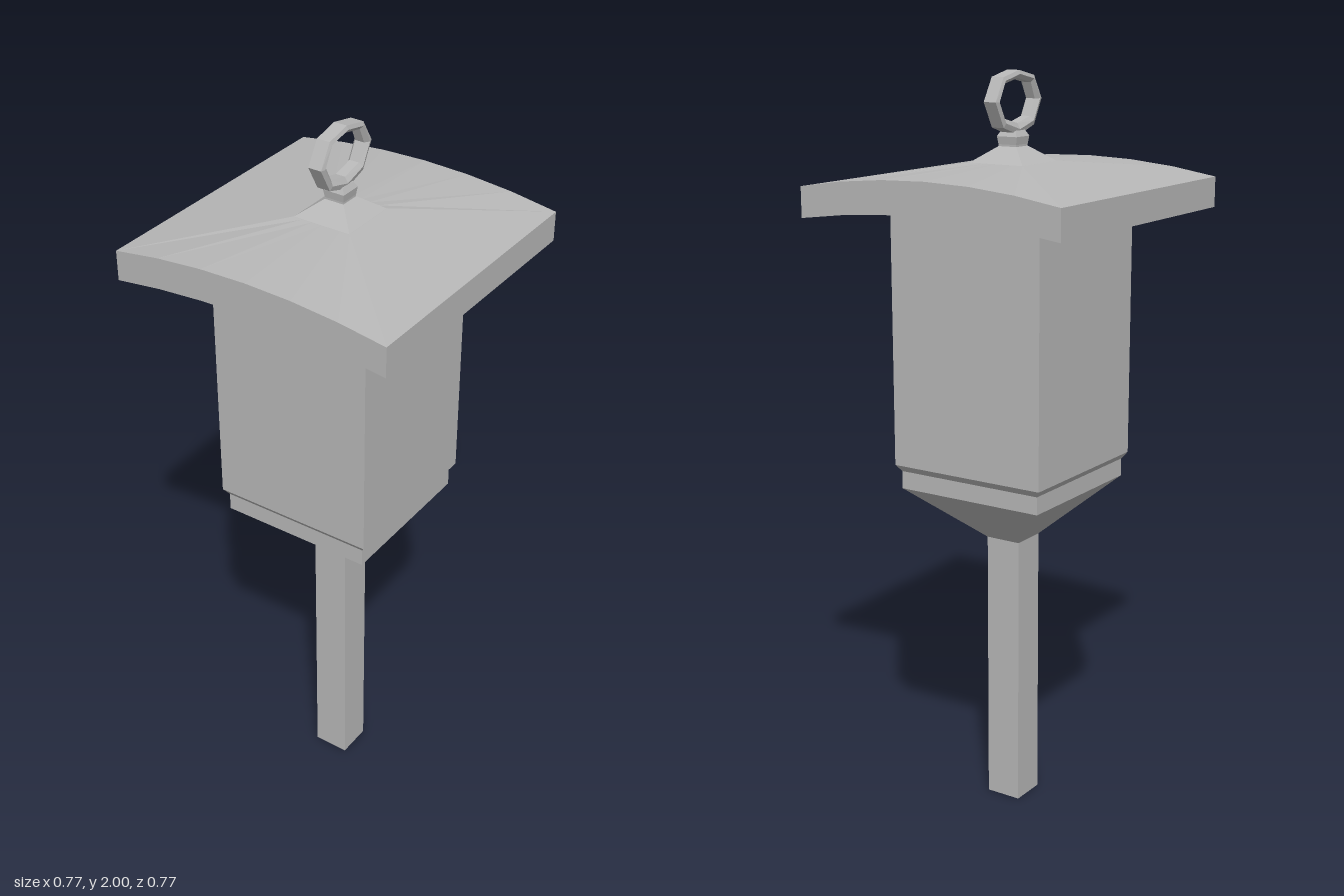
import * as THREE from 'three';

// Skin a series of closed loops with flat quads; optionally join last to first, or cap the ends.
function loft(loops, closed = false) {
  const pos = [];
  const tri = (a, b, c) => pos.push(...a, ...b, ...c);
  const n = loops[0].length;
  const spans = closed ? loops.length : loops.length - 1;
  for (let s = 0; s < spans; s++) {
    const a = loops[s], b = loops[(s + 1) % loops.length];
    for (let i = 0; i < n; i++) {
      const j = (i + 1) % n;
      tri(a[i], a[j], b[j]);
      tri(a[i], b[j], b[i]);
    }
  }
  if (!closed) {
    const first = loops[0], last = loops[loops.length - 1];
    for (let i = 1; i < n - 1; i++) {
      tri(first[0], first[i + 1], first[i]);
      tri(last[0], last[i], last[i + 1]);
    }
  }
  const g = new THREE.BufferGeometry();
  g.setAttribute('position', new THREE.Float32BufferAttribute(pos, 3));
  g.computeVertexNormals();
  return g;
}

// Square column from [halfWidth, y] steps, bottom to top.
const squareStack = (steps) => loft(steps.map(([h, y]) =>
  [[h, y, h], [h, y, -h], [-h, y, -h], [-h, y, h]]));

export function createModel() {
  const group = new THREE.Group();
  const grey = new THREE.MeshStandardMaterial({ color: 0xb8b8b8, flatShading: true });
  grey.name = 'plainGrey';
  const add = (name, geometry) => {
    const mesh = new THREE.Mesh(geometry, grey);
    mesh.name = name;
    group.add(mesh);
  };

  add('post', squareStack([[0.05, 0], [0.05, 0.77]]));
  add('taperedBase', squareStack([[0.05, 0.76], [0.213, 0.912], [0.213, 0.96]]));
  add('lanternBody', squareStack([[0.213, 0.96], [0.226, 0.978], [0.226, 1.705]]));

  // Roof: straight left and right edges, arched front and back edges
  const rim = [];
  const steps = 6;
  for (const side of [-1, 1]) {
    for (let i = 0; i <= steps; i++) rim.push([side * (2 * i / steps - 1), side]);
  }
  const roofLoop = (half, y, arch) => rim.map(([u, v]) =>
    [u * half, y + arch * (1 - u * u), v * half]);
  add('roof', loft([
    roofLoop(0.22, 1.7, 0),
    roofLoop(0.385, 1.64, 0.03),
    roofLoop(0.385, 1.72, 0.035),
    roofLoop(0.082, 1.77, 0),
  ]));

  // Finial under the ring
  add('finial', squareStack([[0.082, 1.769], [0.027, 1.81], [0.027, 1.815], [0.03, 1.835], [0.022, 1.85]]));

  // Hanging ring: [outer z, outer y, inner z, inner y], clockwise from the top
  const half = [
    [0.07, 1.985, 0.062, 1.967],
    [0.106, 1.925, 0.081, 1.925],
    [0.07, 1.86, 0.058, 1.882],
  ];
  const path = [
    [0, 2, 0, 1.98],
    ...half,
    [0, 1.838, 0, 1.868],
    ...half.map(([a, b, c, d]) => [-a, b, -c, d]).reverse(),
  ];
  add('hangingRing', loft(path.map(([oz, oy, iz, iy]) => {
    const mz = (oz + iz) / 2, my = (oy + iy) / 2;
    return [[0.018, oy, oz], [-0.018, oy, oz], [-0.022, my, mz],
      [-0.013, iy, iz], [0.013, iy, iz], [0.022, my, mz]];
  }), true));

  return group;
}
